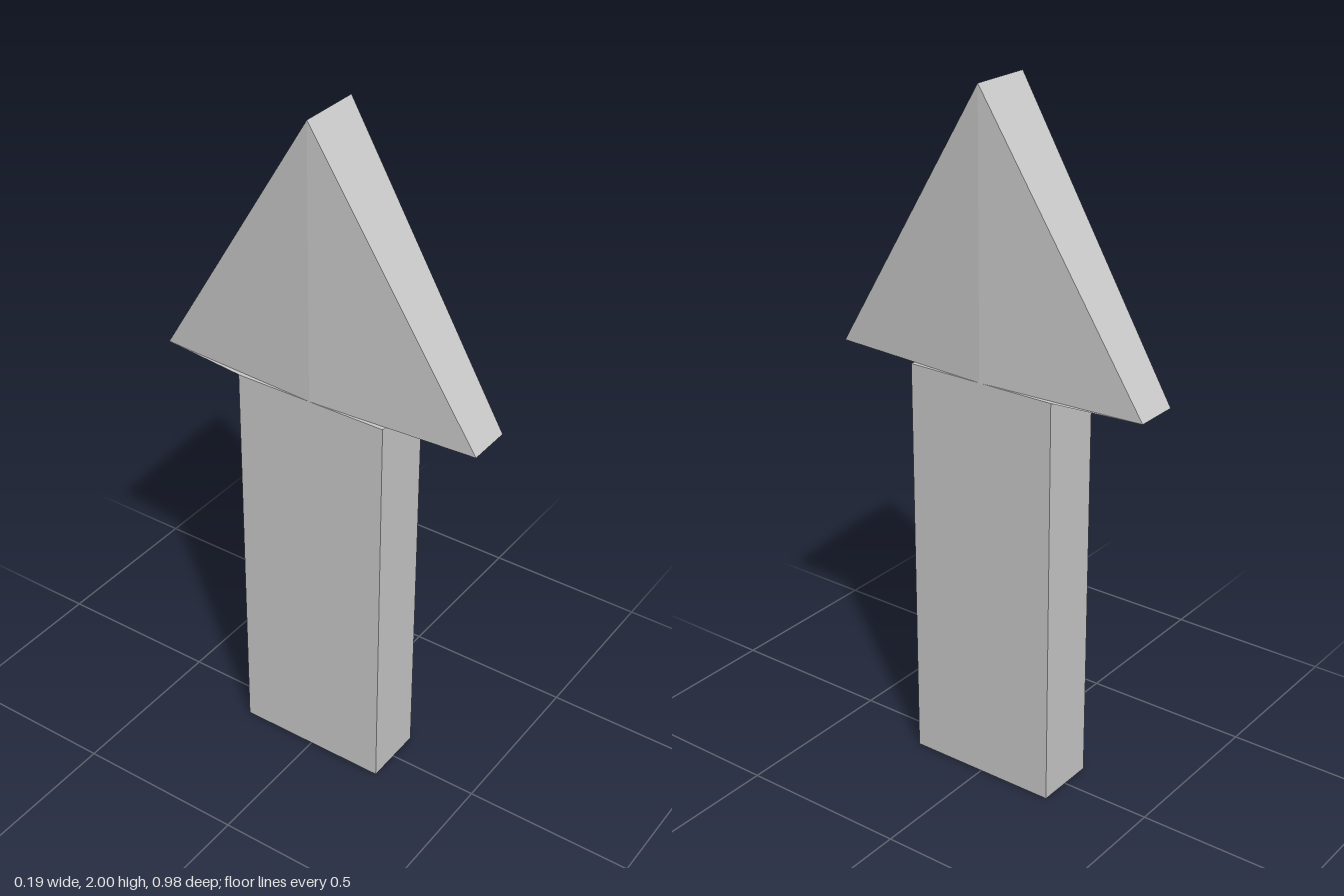
import * as THREE from 'three';

const W = 0.093;        // half thickness of shaft and centre ridge
const TIP = 0.065;      // half thickness at the barb tips
const BASE = 1.21;      // height where the head meets the shaft
const REACH = 0.49;     // barb tip distance from the centre
const SHAFT = 0.23;     // half depth of the shaft

// Half of the arrowhead, facing +z; inner = half width of the underside at the shaft
function halfHeadGeometry(inner) {
  const tip = s => [s * TIP, BASE, REACH];
  const apex = s => [s * W, 2, 0];
  const ridge = s => [s * W, BASE, 0];
  const root = s => [s * inner, BASE, SHAFT];
  const quad = (a, b, c, d) => [a, b, c, a, c, d];
  const corners = [
    ...quad(tip(-1), tip(1), apex(1), apex(-1)),   // sloping edge
    ridge(1), apex(1), tip(1),                     // left cheek
    ridge(-1), tip(-1), apex(-1),                  // right cheek
    ...quad(tip(-1), root(-1), root(1), tip(1)),   // underside
  ];
  const geometry = new THREE.BufferGeometry();
  geometry.setAttribute('position', new THREE.Float32BufferAttribute(corners.flat(), 3));
  geometry.computeVertexNormals();
  return geometry;
}

export function createModel() {
  const group = new THREE.Group();
  group.name = 'arrow';
  const material = new THREE.MeshStandardMaterial({
    color: 0xcccccc, flatShading: true, side: THREE.DoubleSide,
  });

  // Shaft standing on the ground
  const shaft = new THREE.Mesh(new THREE.BoxGeometry(2 * W, BASE, 2 * SHAFT), material);
  shaft.name = 'shaft';
  shaft.position.y = BASE / 2;
  group.add(shaft);

  // Head in two halves; the back underside widens to the shaft corners
  const taper = W - (W - TIP) * SHAFT / REACH;
  const front = new THREE.Mesh(halfHeadGeometry(taper), material);
  front.name = 'headFront';
  const back = new THREE.Mesh(halfHeadGeometry(W), material);
  back.name = 'headBack';
  back.rotation.y = Math.PI;
  group.add(front, back);

  return group;
}
